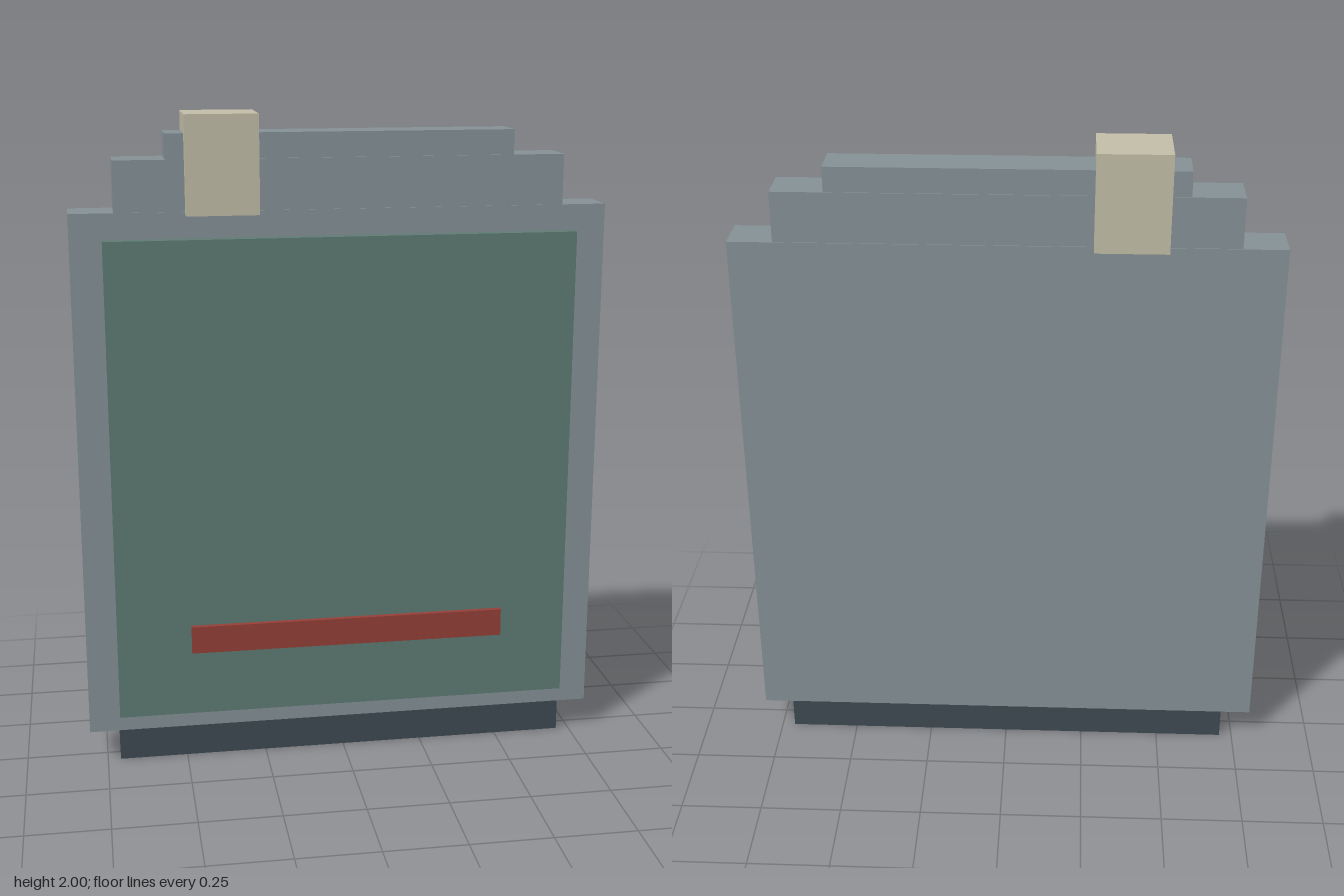
import * as THREE from 'three';

const material = (name, color) => {
  const m = new THREE.MeshStandardMaterial({ color });
  m.name = name;
  return m;
};

export function createModel() {
  const grey = material('steel grey', 0x869297);
  const green = material('muted green', 0x5f7c75);
  const red = material('brick red', 0x964038);
  const cream = material('cream', 0xc4bfa8);
  const dark = material('dark slate', 0x3f4a52);

  const group = new THREE.Group();
  group.name = 'steppedPanel';

  // Box given by its lower and upper limits on each axis
  const addBox = (name, mat, [x0, x1], [y0, y1], [z0, z1]) => {
    const mesh = new THREE.Mesh(new THREE.BoxGeometry(x1 - x0, y1 - y0, z1 - z0), mat);
    mesh.position.set((x0 + x1) / 2, (y0 + y1) / 2, (z0 + z1) / 2);
    mesh.name = name;
    group.add(mesh);
  };

  // Slab with its plinth and two stepped tiers
  addBox('base', dark, [-0.71, 0.71], [0, 0.1], [-0.075, 0.052]);
  addBox('body', grey, [-0.803, 0.8], [0.1, 1.72], [-0.08, 0.056]);
  addBox('lowerTier', grey, [-0.672, 0.668], [1.72, 1.87], [-0.077, 0.053]);
  addBox('upperTier', grey, [-0.52, 0.515], [1.87, 1.944], [-0.074, 0.048]);

  // Raised front panel and its stripe
  addBox('frontPanel', green, [-0.708, 0.706], [0.158, 1.642], [0.056, 0.09]);
  addBox('stripe', red, [-0.48, 0.498], [0.364, 0.45], [0.09, 0.106]);

  // Clip wrapped over the top edge
  addBox('topClip', cream, [-0.465, -0.25], [1.71, 2], [-0.104, 0.088]);

  return group;
}
